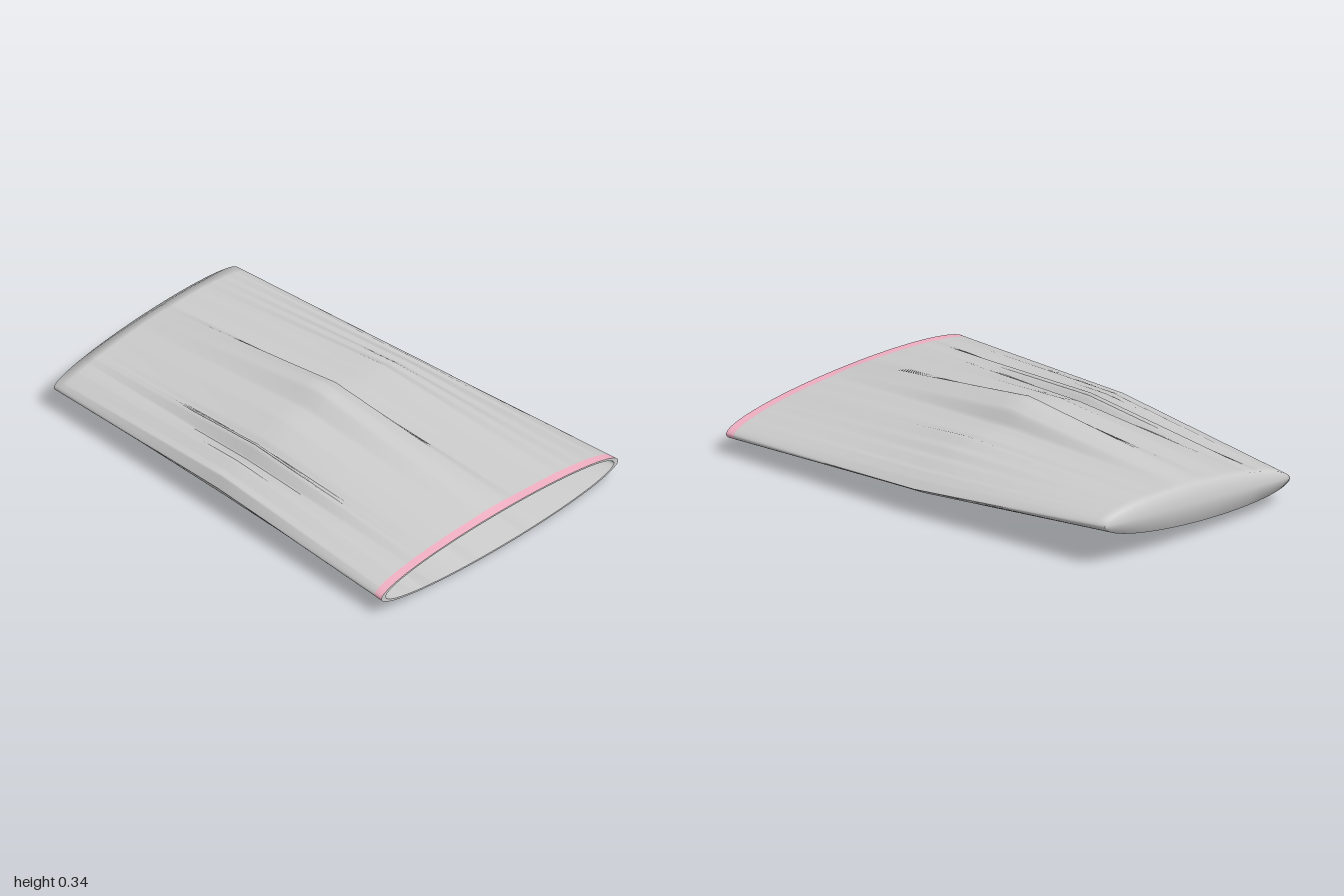
import * as THREE from 'three';

const SIDES = 384;

// Crumpled middle section: [x, y] along the top and the underside
const TOP = [[-0.635, 0.13], [-0.61, 0.18], [-0.58, 0.185], [-0.53, 0.212], [-0.46, 0.18], [-0.42, 0.243],
  [-0.38, 0.2], [-0.35, 0.225], [-0.24, 0.273], [-0.13, 0.277], [-0.06, 0.338], [-0.03, 0.342], [0, 0.34],
  [0.06, 0.312], [0.1, 0.25], [0.18, 0.262], [0.25, 0.255], [0.32, 0.277], [0.37, 0.245], [0.4, 0.245],
  [0.44, 0.213], [0.47, 0.215], [0.52, 0.182], [0.54, 0.185], [0.58, 0.155], [0.61, 0.125]];
const BOTTOM = [[-0.635, 0.13], [-0.6, 0.08], [-0.53, 0.135], [-0.48, 0.09], [-0.43, 0.145], [-0.37, 0.035],
  [-0.18, 0.175], [-0.12, 0.095], [-0.07, 0.15], [0.02, 0.125], [0.12, 0.122], [0.15, 0.08], [0.2, 0.135],
  [0.26, 0.1], [0.3, 0.122], [0.37, 0.095], [0.41, 0.118], [0.46, 0.09], [0.5, 0.11], [0.55, 0.09], [0.61, 0.125]];

function sample(table, x) {
  let k = 1;
  while (k < table.length - 1 && table[k][0] < x) k++;
  const [x0, y0] = table[k - 1], [x1, y1] = table[k];
  return THREE.MathUtils.lerp(y0, y1, THREE.MathUtils.clamp((x - x0) / (x1 - x0), 0, 1));
}

// The three controlling sections, each giving a point at angle a
const openEnd = (a) => [0.695 * Math.cos(a), 0.092 + 0.092 * Math.sin(a)];
const middle = (a) => {
  const x = -0.0125 + 0.6225 * Math.cos(a);
  return [x, sample(Math.sin(a) >= 0 ? TOP : BOTTOM, x)];
};
// The closed end is twisted: higher on the left than on the right
const closedEnd = (a) => [-0.053 + 0.523 * Math.cos(a), 0.16 + 0.045 * Math.cos(a) + 0.083 * Math.sin(a)];

// A closed ring at depth z, pulled inwards by inset [x, y]
function ring(z, inset = [0, 0]) {
  const pts = [];
  const t = Math.abs(z);
  for (let j = 0; j < SIDES; j++) {
    const a = (j / SIDES) * Math.PI * 2;
    const p = z >= 0 ? openEnd(a) : closedEnd(a), m = middle(a);
    pts.push(new THREE.Vector3(
      m[0] + (p[0] - m[0]) * t - inset[0] * Math.cos(a),
      m[1] + (p[1] - m[1]) * t - inset[1] * Math.sin(a),
      // the closed end is cut slightly askew
      z + Math.max(0, -z) * (0.02 + 0.017 * Math.cos(a) + 0.006 * Math.sin(a))));
  }
  return pts;
}

// Flatten a ring onto its centre line, to close an end
function collapse(r) {
  return r.map((p, j) => p.clone().add(r[(SIDES - j) % SIDES]).multiplyScalar(0.5));
}

function loft(name, rings, material) {
  const pos = [], idx = [];
  rings.forEach((r) => r.forEach((p) => pos.push(p.x, p.y, p.z)));
  for (let i = 0; i < rings.length - 1; i++) {
    for (let j = 0; j < SIDES; j++) {
      const k = (j + 1) % SIDES;
      const a = i * SIDES + j, b = i * SIDES + k, c = a + SIDES, d = b + SIDES;
      idx.push(a, c, b, b, c, d);
    }
  }
  const geo = new THREE.BufferGeometry();
  geo.setAttribute('position', new THREE.Float32BufferAttribute(pos, 3));
  geo.setIndex(idx);
  geo.computeVertexNormals();
  const mesh = new THREE.Mesh(geo, material);
  mesh.name = name;
  return mesh;
}

export function createModel() {
  const group = new THREE.Group();
  group.name = 'flattenedSleeve';
  const grey = new THREE.MeshStandardMaterial({ color: 0xcccccc, side: THREE.DoubleSide });
  const pink = new THREE.MeshStandardMaterial({ color: 0xf0b0c3, side: THREE.DoubleSide });

  // Outer fabric, from the hem to the closed end, softly shaded over the end
  const outer = [0.96, 0.6, 0.3, 0.08, 0, -0.08, -0.3, -0.65, -0.95, -1].map((z) => ring(z));
  outer.push(collapse(outer[outer.length - 1]));
  group.add(loft('outerFabric', outer, grey));

  // Coloured hem round the opening
  group.add(loft('hem', [ring(1), ring(0.96)], pink));

  // Inner lining, built from back to front so that it faces inwards
  const inset = [0.025, 0.007];
  const lining = [-0.97, -0.6, -0.3, -0.08, 0, 0.08, 0.3, 0.6, 1].map((z) => ring(z, inset));
  group.add(loft('lining', lining, grey));
  group.add(loft('liningEnd', [collapse(lining[0]), lining[0]], grey));

  // Rim joining lining and hem
  group.add(loft('rim', [ring(1, inset), ring(1)], grey));

  return group;
}
